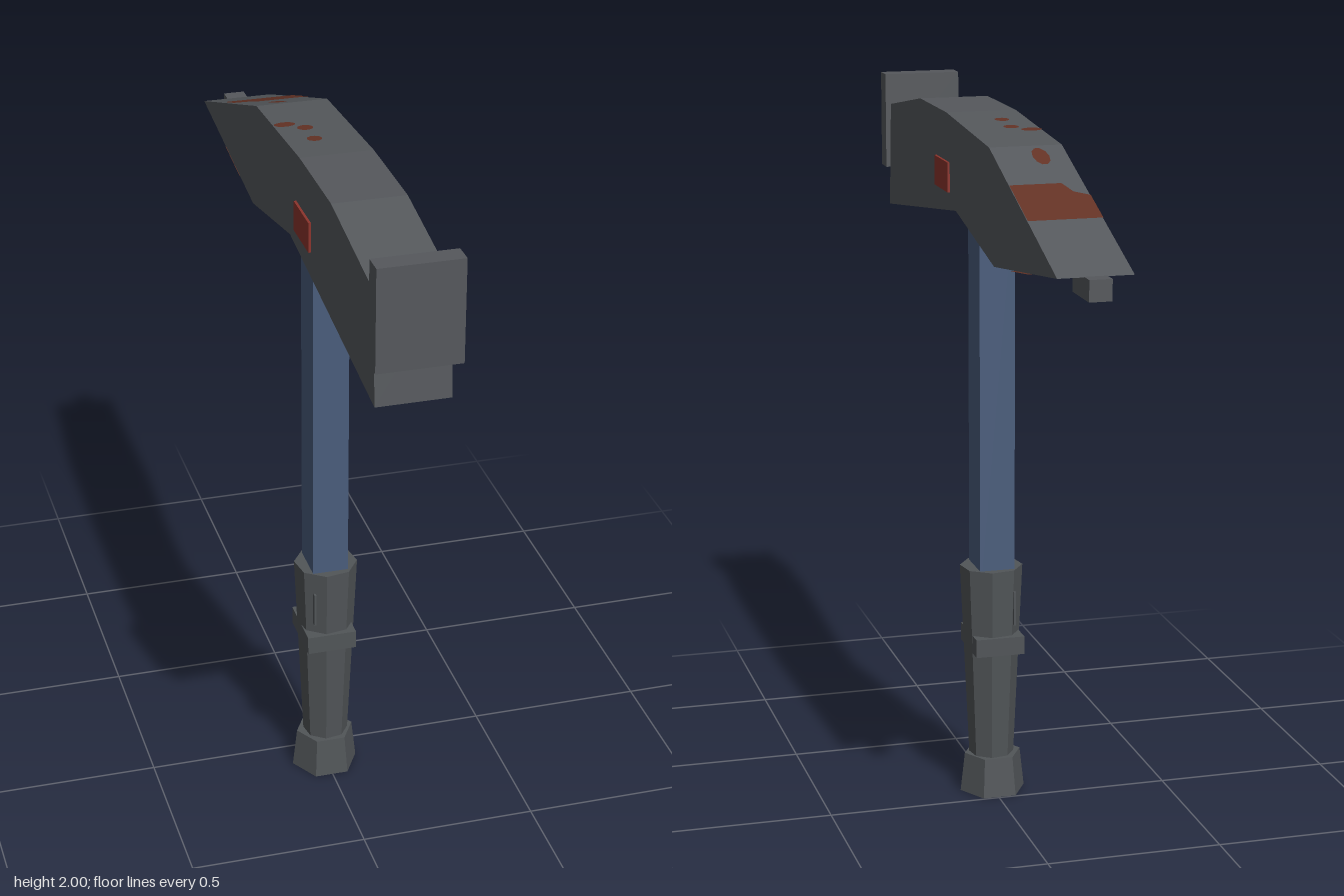
import * as THREE from 'three';

const material = (name, color) => {
  const m = new THREE.MeshStandardMaterial({ color, flatShading: true });
  m.name = name;
  return m;
};

export function createModel() {
  const group = new THREE.Group();
  const steel = material('steel grey', 0x55585c);
  const rubber = material('grip grey', 0x515558);
  const blue = material('handle blue', 0x4a5d7c);
  const red = material('badge red', 0x8c342c);
  const rust = material('rust brown', 0x633225);
  rust.side = THREE.DoubleSide;

  const add = (name, geometry, mat, x = 0, y = 0, z = 0) => {
    const mesh = new THREE.Mesh(geometry, mat);
    mesh.name = name;
    mesh.position.set(x, y, z);
    group.add(mesh);
    return mesh;
  };
  const box = (name, mat, x0, x1, y0, y1, z0, z1) =>
    add(name, new THREE.BoxGeometry(x1 - x0, y1 - y0, z1 - z0), mat,
      (x0 + x1) / 2, (y0 + y1) / 2, (z0 + z1) / 2);

  // Head: side profile as (z, y), extruded across x
  const profile = [[0.885, 1.605], [0.86, 1.912], [0.49, 1.977], [0.19, 1.977],
    [-0.26, 1.945], [-0.89, 1.715], [-0.31, 1.635], [0.09, 1.717]];
  const outline = new THREE.Shape(profile.map(([z, y]) => new THREE.Vector2(z, y)));
  const head = new THREE.ExtrudeGeometry(outline, { depth: 0.2, bevelEnabled: false });
  head.rotateY(-Math.PI / 2).translate(0.1, 0, 0);
  add('head', head, steel);
  box('strikingPlate', steel, -0.113, 0.113, 1.72, 2, 0.872, 0.93);
  box('peenTip', steel, -0.03, 0.03, 1.66, 1.716, -0.93, -0.79);

  // Badges on both cheeks
  for (const s of [-1, 1]) {
    add('badge', new THREE.BoxGeometry(0.009, 0.084, 0.146), red, s * 0.1025, 1.8, 0.228);
  }

  // Rust patches lie on a straight stretch of the head profile
  const patch = (name, points, a, b, lift) => {
    const shape = new THREE.Shape(points.map(([x, z]) => new THREE.Vector2(x, -z)));
    const geometry = new THREE.ShapeGeometry(shape);
    const p = geometry.attributes.position;
    for (let i = 0; i < p.count; i++) {
      const z = -p.getY(i);
      const y = a[1] + (b[1] - a[1]) * (z - a[0]) / (b[0] - a[0]);
      p.setXYZ(i, p.getX(i), y + lift, z);
    }
    geometry.computeVertexNormals();
    add(name, geometry, rust);
  };
  const spot = (x, z, rx, rz) => Array.from({ length: 10 }, (_, i) => {
    const t = i * Math.PI / 5;
    return [x + rx * Math.cos(t), z - rz * Math.sin(t)];
  });
  const [, , , crown, bend, tip, belly] = profile;
  patch('rustBand', [[-0.1, -0.52], [-0.06, -0.5], [-0.04, -0.457], [0.1, -0.457],
    [0.1, -0.63], [-0.1, -0.63]], bend, tip, 0.003);
  patch('rustBandBelow', [[-0.1, -0.46], [0.1, -0.46], [0.1, -0.63], [-0.1, -0.63]],
    belly, tip, -0.003);
  patch('rustSpot', spot(-0.025, -0.32, 0.023, 0.043), bend, tip, 0.003);
  for (const s of [[-0.07, -0.075, 0.03, 0.019], [-0.024, -0.034, 0.022, 0.021],
    [-0.024, 0.06, 0.021, 0.021]]) {
    patch('rustSpot', spot(...s), crown, bend, 0.003);
  }

  // Handle and faceted grip
  const cz = 0.088;
  box('handle', blue, -0.053, 0.049, 0.6, 1.78, 0.027, 0.149);
  const grip = new THREE.CylinderGeometry(0.09, 0.064, 0.58, 8);
  add('grip', grip, rubber, 0, 0.395, cz).rotation.y = -13 * Math.PI / 180;
  const pommel = new THREE.CylinderGeometry(0.083, 0.096, 0.115, 6);
  add('pommel', pommel, rubber, -0.003, 0.0575, cz).rotation.y = Math.PI / 6;
  box('collar', rubber, -0.075, 0.067, 0.435, 0.488, 0, 0.175);
  box('gripRib', rubber, -0.053, -0.047, 0.52, 0.62, 0.01, 0.163);

  return group;
}
